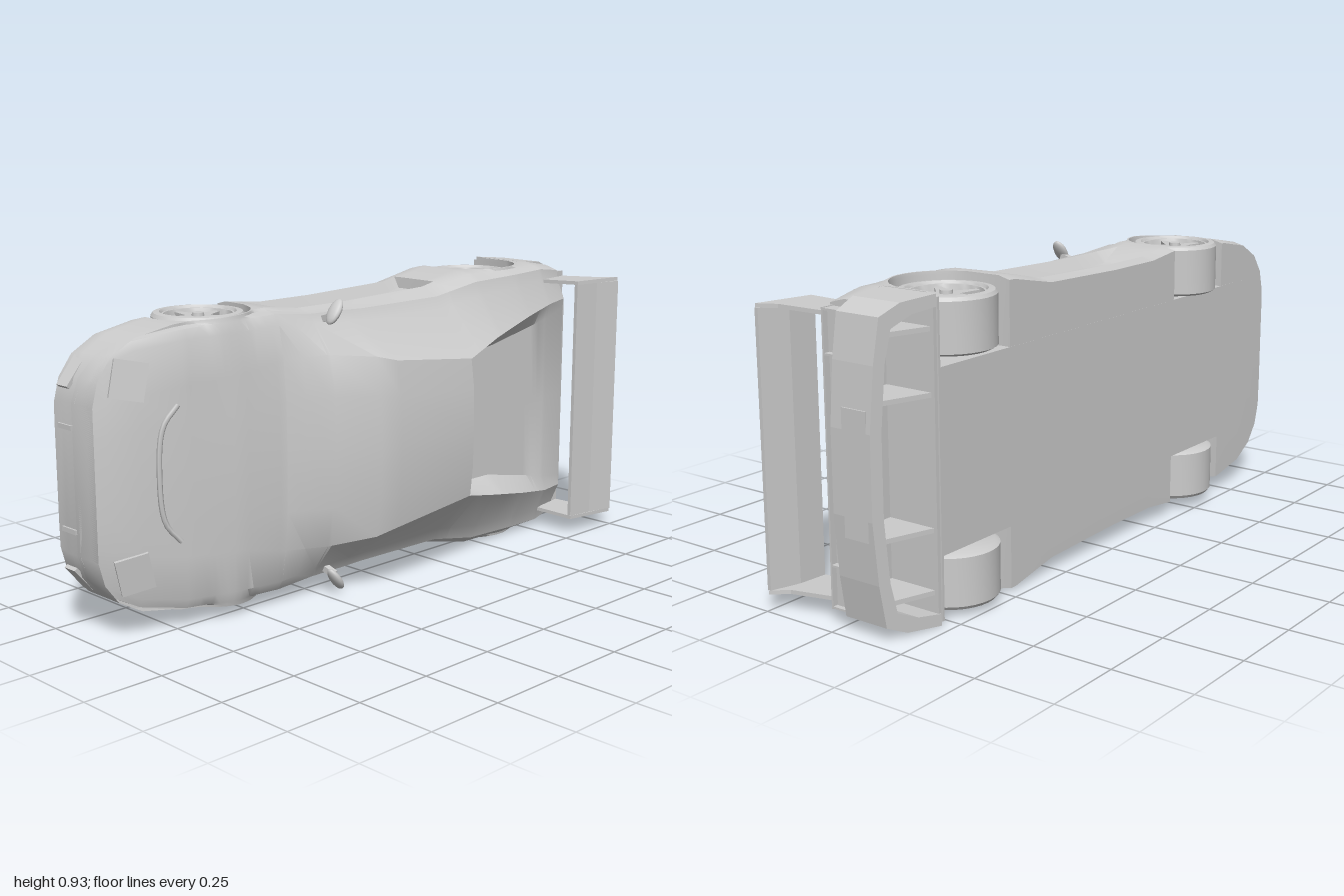
import * as THREE from 'three';
import { toCreasedNormals } from 'three/addons/utils/BufferGeometryUtils.js';

// The car lies on its side: nose at -x, roof towards +z, width along y.
const MID = 0.466;
const grey = new THREE.MeshStandardMaterial({ color: 0xcccccc, side: THREE.DoubleSide });
const wheels = [{ x: -0.55, z: -0.12, r: 0.138 }, { x: 0.625, z: -0.112, r: 0.143 }];
const REACH = 0.15;

function add(parent, name, geometry, x = 0, y = 0, z = 0) {
  const m = new THREE.Mesh(geometry, grey);
  m.name = name;
  m.position.set(x, y, z);
  parent.add(m);
  return m;
}
const shapeOf = pts => new THREE.Shape(pts.map(p => new THREE.Vector2(...p)));
const extrude = (pts, depth) => new THREE.ExtrudeGeometry(shapeOf(pts), { depth, bevelEnabled: false });

// Extrudes an (x, z) outline across the car, centred on y = 0
const across = (pts, width) => extrude(pts, width).translate(0, 0, -width / 2).rotateX(Math.PI / 2);

// Body stations: x, half width, side top z, shoulder y z, roof edge y z, centre z
const stations = [
  [-.994, .22, -.13, .21, -.115, .16, -.105, -.10],
  [-.975, .29, -.12, .27, -.10, .19, -.09, -.085],
  [-.93, .35, -.10, .32, -.07, .21, -.057, -.05],
  [-.85, .395, -.07, .36, -.03, .23, -.02, -.015],
  [-.72, .42, -.02, .38, .02, .25, .02, .023],
  [-.55, .432, 0, .385, .055, .26, .06, .067],
  [-.4, .435, .01, .39, .065, .29, .082, .095],
  [-.27, .42, .025, .38, .07, .295, .13, .156],
  [-.13, .42, .03, .375, .075, .28, .198, .222],
  [-.06, .42, .03, .37, .08, .262, .217, .238],
  [.27, .43, .03, .365, .088, .225, .222, .238],
  [.274, .43, .03, .365, .088, .225, .222, .1],
  [.45, .465, .045, .39, .092, .265, .178, .1],
  [.65, .466, .05, .40, .09, .305, .14, .1],
  [.8, .465, .045, .41, .078, .33, .113, .1],
  [.91, .445, .03, .40, .055, .335, .085, .08],
];

function sample(x) {
  let i = 0;
  while (i < stations.length - 2 && x > stations[i + 1][0]) i++;
  const a = stations[i], b = stations[i + 1], t = (x - a[0]) / (b[0] - a[0]);
  return a.map((v, k) => v + (b[k] - v) * t);
}

// Half section from the floor centre to the top centre, with wheel well and door recess
function section(x) {
  const [, w, zs, wb, zb, wt, zt, zc] = sample(x);
  const floor = x > 0.785 ? -0.03 : -0.215;
  let low = floor;
  for (const o of wheels) {
    const d = Math.abs(x - o.x);
    if (d <= REACH + 1e-6) low = o.z + Math.sqrt(Math.max(0, (o.r + .014) ** 2 - d * d));
  }
  const dent = x > -0.34 && x < 0.33 ? 0.035 * Math.min(1, (x + .34) / .08) : 0;
  const up = (z, k) => Math.max(z, low + 0.002 * k);
  const inner = Math.min(0.265, w * 0.7);
  // crowned bonnet and roof, then a sunken flat deck between the buttresses
  const deck = x > 0.272 ? [.22 + .2 * Math.max(0, x - .5), zc] : [wt * .58, zt + .8 * (zc - zt)];
  return [[0, floor], [inner, floor], [inner, low + .0005], [w - .01, low + .001],
    [w, up(-.175, 1)], [w - dent, up(-.155, 2)], [w - dent, up(-.03, 3)], [w, up(Math.min(zs, 0), 4)],
    [w - .008, up(zs, 5)], [(w + wb) / 2 + .008, Math.max((zs + zb) / 2 + .008, low + .012)],
    [wb, Math.max(zb, low + .015)], [wt, zt], deck, [0, zc]];
}

function bodyGeometry() {
  const xs = stations.map(s => s[0]).concat([-.341, -.26, .329, .331, .784, .786]);
  for (const o of wheels) {
    for (let i = -7; i <= 7; i++) xs.push(o.x + REACH * i / 7);
    xs.push(o.x - REACH - .001, o.x + REACH + .001);
  }
  xs.sort((a, b) => a - b);
  const rings = xs.map(x => {
    const h = section(x);
    const other = h.slice(1, -1).reverse().map(([y, z]) => [-y, z]);
    return h.concat(other).map(([y, z]) => [x, y, z]);
  });
  const pos = [], n = rings[0].length, half = n / 2;
  const quad = (a, b, c, d) => pos.push(...a, ...b, ...c, ...a, ...c, ...d);
  for (let s = 0; s < rings.length - 1; s++)
    for (let i = 0; i < n; i++) {
      const j = (i + 1) % n;
      quad(rings[s][i], rings[s][j], rings[s + 1][j], rings[s + 1][i]);
    }
  const nose = rings[0], tail = rings[rings.length - 1];
  for (let i = 0; i < half; i++) {
    const a = (n - i) % n, b = n - i - 1;
    quad(tail[i], tail[i + 1], tail[b], tail[a]);
    quad(nose[a], nose[b], nose[i + 1], nose[i]);
  }
  const g = new THREE.BufferGeometry();
  g.setAttribute('position', new THREE.Float32BufferAttribute(pos, 3));
  return toCreasedNormals(g, 0.5);
}

// Wheel with its outer face towards +y
function makeWheel(r) {
  const g = new THREE.Group();
  const profile = [[0, -.082], [r * .9, -.082], [r, -.074], [r, .07], [r * .95, .08], [r * .82, .082],
    [r * .78, .074], [r * .74, .074], [r * .7, .045], [0, .045]].map(p => new THREE.Vector2(...p));
  add(g, 'tyreAndRim', toCreasedNormals(new THREE.LatheGeometry(profile, 32), 0.6));
  const spoke = [[0, -.024], [r * .3, -.02], [r * .74, -.009], [r * .74, .009], [r * .3, .02], [0, .024]];
  for (let i = 0; i < 5; i++)
    add(g, 'spoke', extrude(spoke, .022).rotateX(-Math.PI / 2).rotateY(i * Math.PI * 0.4 + 0.3), 0, .045, 0);
  add(g, 'hub', new THREE.CylinderGeometry(.018, .022, .034, 10), 0, .06, 0);
  return g;
}

// Rear bumper: curved hollow shell with a lid, its lower edge rising to the back
function addBumper(car) {
  const outer = [[.79, .465], [.9, .455], [.965, .425], [.985, .3], [1, .12]];
  const inner = [[.79, .43], [.865, .42], [.93, .39], [.95, .3], [.965, .12]];
  const flip = pts => pts.map(([x, y]) => [x, -y]);
  const lid = [...outer, ...flip(outer).reverse()];
  const shell = extrude([...lid, ...flip(inner), ...inner.slice().reverse()], .19);
  const p = shell.attributes.position;
  for (let i = 0; i < p.count; i++)
    p.setZ(i, p.getZ(i) > .1 ? -.03 : -.215 + .05 * (p.getX(i) - .79) / .2);
  shell.computeVertexNormals();
  add(car, 'rearBumper', shell);
  add(car, 'bumperTop', extrude(lid, .012), 0, 0, -.035);
  add(car, 'innerRearPanel', new THREE.BoxGeometry(.012, .86, .17), .79, 0, -.125);
  for (const y of [-.37, -.19, .19, .37])
    add(car, 'diffuserFin', across([[.79, -.2], [.95, -.15], [.95, -.04], [.79, -.04]], .014), 0, y, 0);
  add(car, 'numberPlateRecess', new THREE.BoxGeometry(.012, .36, .085), .994, 0, -.105);
}

export function createModel() {
  const model = new THREE.Group();
  model.name = 'sportsCar';
  const car = new THREE.Group();
  car.name = 'car';
  car.position.y = MID;
  model.add(car);
  add(car, 'body', bodyGeometry());
  addBumper(car);

  // Tail panel with its lamp rails
  add(car, 'tailPanel', new THREE.BoxGeometry(.03, .84, .07), .915, 0, .01);
  for (const z of [-.02, .043]) add(car, 'tailPanelRail', new THREE.BoxGeometry(.04, .85, .006), .93, 0, z);

  // Rear wing blade
  add(car, 'wingBlade', across([[.81, .207], [.9, .215], [.99, .243], [.99, .255], [.9, .232], [.81, .219]], .81));

  for (const side of [-1, 1]) {
    const plate = across([[.8, .08], [.93, .06], [.955, .2], [.992, .25], [.81, .22]], .012);
    add(car, 'wingEndPlate', plate, 0, side * .402, 0).rotation.x = side * -.04;
    add(car, 'tailLamp', new THREE.BoxGeometry(.02, .11, .045), .928, side * .36, .012);
    for (const y of [.298, .42]) add(car, 'lampFrame', new THREE.BoxGeometry(.04, .006, .06), .93, side * y, .012);

    // Door mirrors
    const mirror = add(car, 'mirror', new THREE.SphereGeometry(1, 14, 10), -.22, side * .415, .11);
    mirror.scale.set(.014, .043, .025);
    mirror.rotation.z = -side * .6;
    const arm = add(car, 'mirrorArm', new THREE.BoxGeometry(.02, .02, .045), -.22, side * .395, .083);
    arm.rotation.x = -side * .3;

    // Headlamps and nose intakes
    const lamp = add(car, 'headlamp', new THREE.BoxGeometry(.1, .11, .012), -.87, side * .28, -.032);
    lamp.rotation.set(-side * .12, -.4, -side * .25);
    const intake = add(car, 'noseIntake', new THREE.BoxGeometry(.012, .1, .05), -.963, side * .3, -.165);
    intake.rotation.z = -side * .7;
    add(car, 'noseDivider', new THREE.BoxGeometry(.012, .014, .065), -.994, side * .15, -.16);

    for (const o of wheels) {
      const w = makeWheel(o.r);
      w.name = o.x < 0 ? 'frontWheel' : 'rearWheel';
      w.position.set(o.x, side * (o.x < 0 ? .348 : .363), o.z);
      if (side < 0) w.rotation.x = Math.PI;
      car.add(w);
    }
  }

  // Curved vent lip across the bonnet
  const lip = [[-.74, -.2, .018], [-.785, -.14, .006], [-.8, 0, .003], [-.785, .14, .006], [-.74, .2, .018]];
  const lipCurve = new THREE.CatmullRomCurve3(lip.map(p => new THREE.Vector3(...p)));
  add(car, 'bonnetVent', new THREE.TubeGeometry(lipCurve, 20, .008, 6));
  return model;
}
